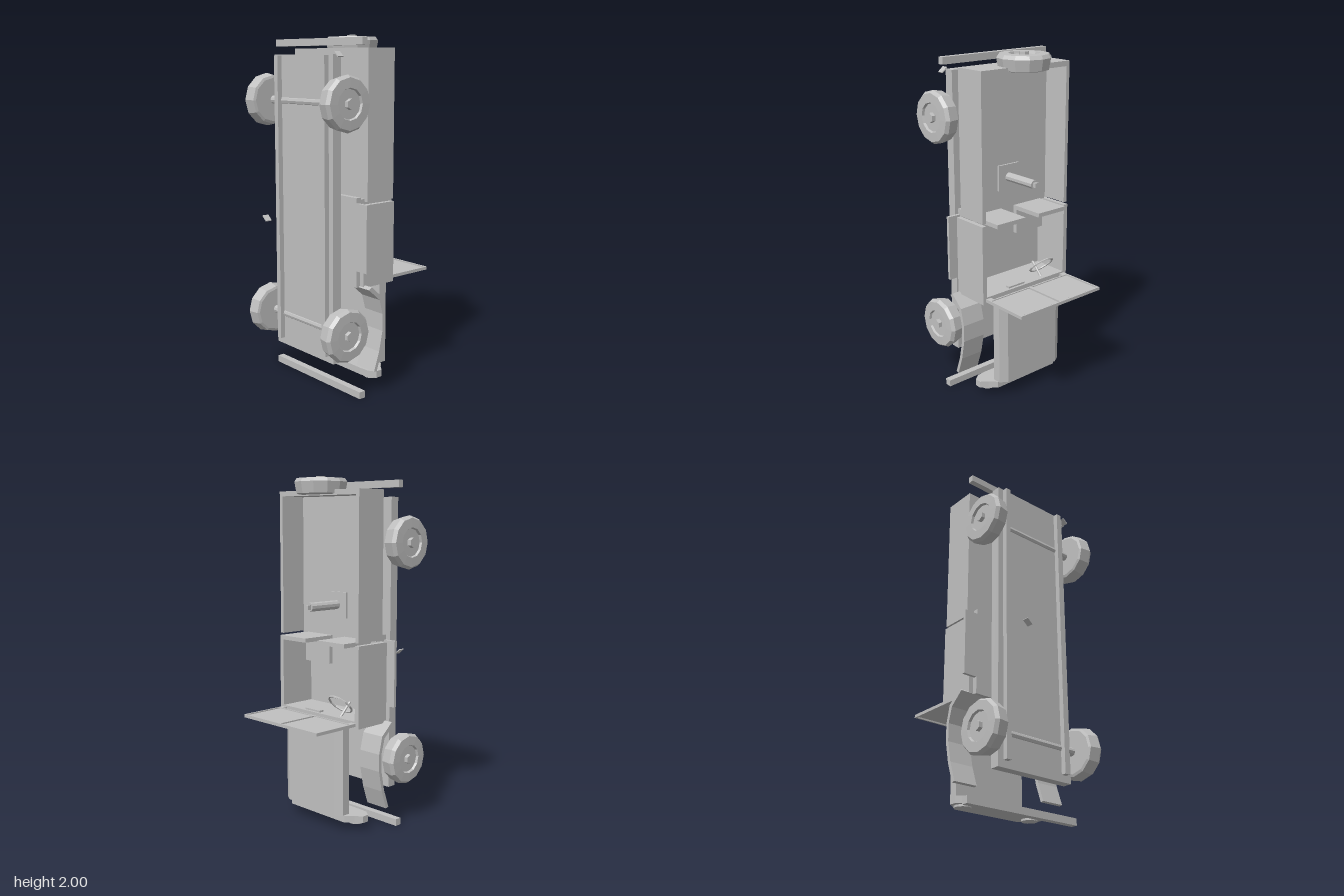
import * as THREE from 'three';

export function createModel() {
  const model = new THREE.Group();
  model.name = 'openTruck';
  const grey = new THREE.MeshStandardMaterial({ color: 0xc0c0c0 });
  grey.name = 'bodyGrey';
  grey.flatShading = true;

  const add = (name, geo, parent = model) => {
    const mesh = new THREE.Mesh(geo, grey);
    mesh.name = name;
    parent.add(mesh);
    return mesh;
  };
  // Box given by its limits on each axis
  const box = (name, x0, x1, y0, y1, z0, z1) => {
    const m = add(name, new THREE.BoxGeometry(x1 - x0, y1 - y0, z1 - z0));
    m.position.set((x0 + x1) / 2, (y0 + y1) / 2, (z0 + z1) / 2);
    return m;
  };
  // The same box on both sides
  const pair = (name, x0, x1, ...rest) => {
    box(name, x0, x1, ...rest);
    box(name, -x1, -x0, ...rest);
  };
  const shapeOf = (pts) => new THREE.Shape(pts.map((p) => new THREE.Vector2(...p)));
  const extrude = (pts, depth) =>
    new THREE.ExtrudeGeometry(shapeOf(pts), { depth, bevelEnabled: false });

  // Chassis plate and rails
  box('chassis', -0.257, 0.257, 0.19, 1.89, 0.21, 0.266);
  pair('chassisRail', 0.19, 0.222, 0.23, 1.885, 0.25, 0.295);

  // Bumpers
  box('rearBumper', -0.375, 0.375, 1.937, 1.977, 0.132, 0.167);
  box('frontBumper', -0.38, 0.38, 0, 0.04, 0.138, 0.178);

  // Rear tub, open towards -z
  box('rearFloor', -0.32, 0.32, 1.095, 1.925, 0.042, 0.072);
  pair('rearSide', 0.297, 0.32, 1.095, 1.925, -0.122, 0.042);
  box('tailgate', -0.297, 0.297, 1.895, 1.925, -0.122, 0.042);

  // Front tub
  box('cabFloor', -0.295, 0.295, 0.615, 1.12, 0.1, 0.13);
  pair('cabSide', 0.297, 0.325, 0.615, 1.08, -0.125, 0.105);
  box('dashboard', -0.297, 0.297, 0.615, 0.655, -0.125, 0.1);
  box('floorStep', -0.295, 0.295, 1.085, 1.11, 0.045, 0.1);
  pair('sideStep', 0.29, 0.377, 0.71, 1.09, 0.112, 0.13);

  // Seats
  pair('seatBack', 0.05, 0.257, 1.066, 1.09, -0.172, 0.045);
  pair('seatCushion', 0.05, 0.257, 0.92, 1.066, 0.02, 0.045);

  // Steering wheel and gauge
  const steering = add('steeringWheel', new THREE.TorusGeometry(0.075, 0.006, 5, 12));
  steering.position.set(-0.15, 0.725, -0.09);
  steering.rotation.x = -Math.PI / 4;
  const column = add('steeringColumn', new THREE.CylinderGeometry(0.008, 0.008, 0.11, 6));
  column.position.set(-0.15, 0.687, -0.052);
  column.rotation.x = Math.PI / 4;
  box('gauge', 0.0, 0.12, 0.655, 0.665, -0.11, -0.08);

  // Windscreen frame with two panes
  const frame = shapeOf([[-0.305, 0.155], [0.305, 0.155], [0.305, 0.425], [-0.305, 0.425]]);
  for (const s of [-1, 1]) {
    const hole = shapeOf([[s * 0.008, 0.162], [s * 0.295, 0.162], [s * 0.295, 0.415], [s * 0.008, 0.415]]);
    frame.holes.push(hole);
  }
  const frameGeo = new THREE.ExtrudeGeometry(frame, { depth: 0.018, bevelEnabled: false });
  frameGeo.rotateX(-Math.PI / 2);
  add('windscreenFrame', frameGeo).position.y = 0.628;
  pair('windscreenPane', 0.015, 0.29, 0.633, 0.641, -0.407, -0.16);
  pair('windscreenLeg', 0.27, 0.305, 0.628, 0.646, -0.16, -0.12);

  // Bonnet with bevelled top edges
  const hood = extrude([[-0.235, 0.105], [0.235, 0.105], [0.235, 0.155], [0.19, 0.182],
    [-0.19, 0.182], [-0.235, 0.155]], 0.53);
  hood.rotateX(-Math.PI / 2);
  add('bonnet', hood).position.y = 0.1;

  // Grille and headlights
  const grille = extrude([[-0.2, -0.015], [0.2, -0.015], [0.265, -0.01], [0.305, 0.02], [0.305, 0.06],
    [0.265, 0.09], [0.225, 0.13], [-0.225, 0.13], [-0.265, 0.09], [-0.305, 0.06],
    [-0.305, 0.02], [-0.265, -0.01]], 0.04);
  grille.rotateX(-Math.PI / 2);
  add('grille', grille).position.y = 0.05;
  for (const s of [-1, 1]) {
    const lamp = add('headlight', new THREE.CylinderGeometry(0.047, 0.047, 0.015, 12));
    lamp.position.set(s * 0.235, 0.046, -0.045);
  }

  // Front fenders: a curved strip drawn in (y, z)
  const arc = [[0.13, 0.05], [0.24, 0.012], [0.36, -0.012], [0.46, -0.012], [0.56, 0.012], [0.63, 0.092]];
  const under = arc.map(([y, z], i) => [y - (i > 3 ? 0.014 : i < 2 ? -0.004 : 0), z + 0.02]).reverse();
  for (const s of [-1, 1]) {
    const geo = extrude([...arc, ...under].map(([y, z]) => [-z, y]), 0.145);
    geo.rotateY(Math.PI / 2);
    add('frontFender', geo).position.x = s > 0 ? 0.235 : -0.38;
  }

  // Wheel: turned profile with recessed rim, outer face towards +y
  const tyre = [[0, 0], [0.125, 0], [0.14, 0.005], [0.152, 0.068], [0.138, 0.088],
    [0.085, 0.09], [0.08, 0.076], [0, 0.076]];
  const wheel = (name) => {
    const g = new THREE.Group();
    g.name = name;
    add('tyre', new THREE.LatheGeometry(tyre.map((p) => new THREE.Vector2(...p)), 12), g);
    const hub = add('hub', new THREE.CylinderGeometry(0.029, 0.029, 0.03, 6), g);
    hub.position.y = 0.084;
    hub.rotation.y = Math.PI / 6;
    model.add(g);
    return g;
  };
  for (const y of [0.38, 1.635]) {
    for (const s of [-1, 1]) {
      const w = wheel('wheel');
      w.position.set(s * 0.29, y, 0.25);
      w.rotation.z = -s * Math.PI / 2;
    }
    const axle = add('axle', new THREE.CylinderGeometry(0.024, 0.024, 0.6, 10));
    axle.position.set(0, y, 0.25);
    axle.rotation.z = Math.PI / 2;
  }
  wheel('spareWheel').position.set(0, 1.901, -0.095);

  // Gun post on a square base
  box('postBase', -0.075, 0.075, 1.2, 1.35, 0.03, 0.042);
  const post = add('post', new THREE.CylinderGeometry(0.026, 0.026, 0.23, 10));
  post.position.set(0, 1.275, -0.073);
  post.rotation.x = Math.PI / 2;
  box('postPin', -0.012, 0.012, 1.262, 1.288, -0.208, -0.188);

  // Small loose tabs
  for (const [x, y, z] of [[0.287, 1.89, 0.252], [-0.163, 0.977, 0.402]]) {
    const tab = add('tab', new THREE.BoxGeometry(0.043, 0.006, 0.038));
    tab.position.set(x, y, z);
    tab.rotation.z = -0.7;
  }
  return model;
}
